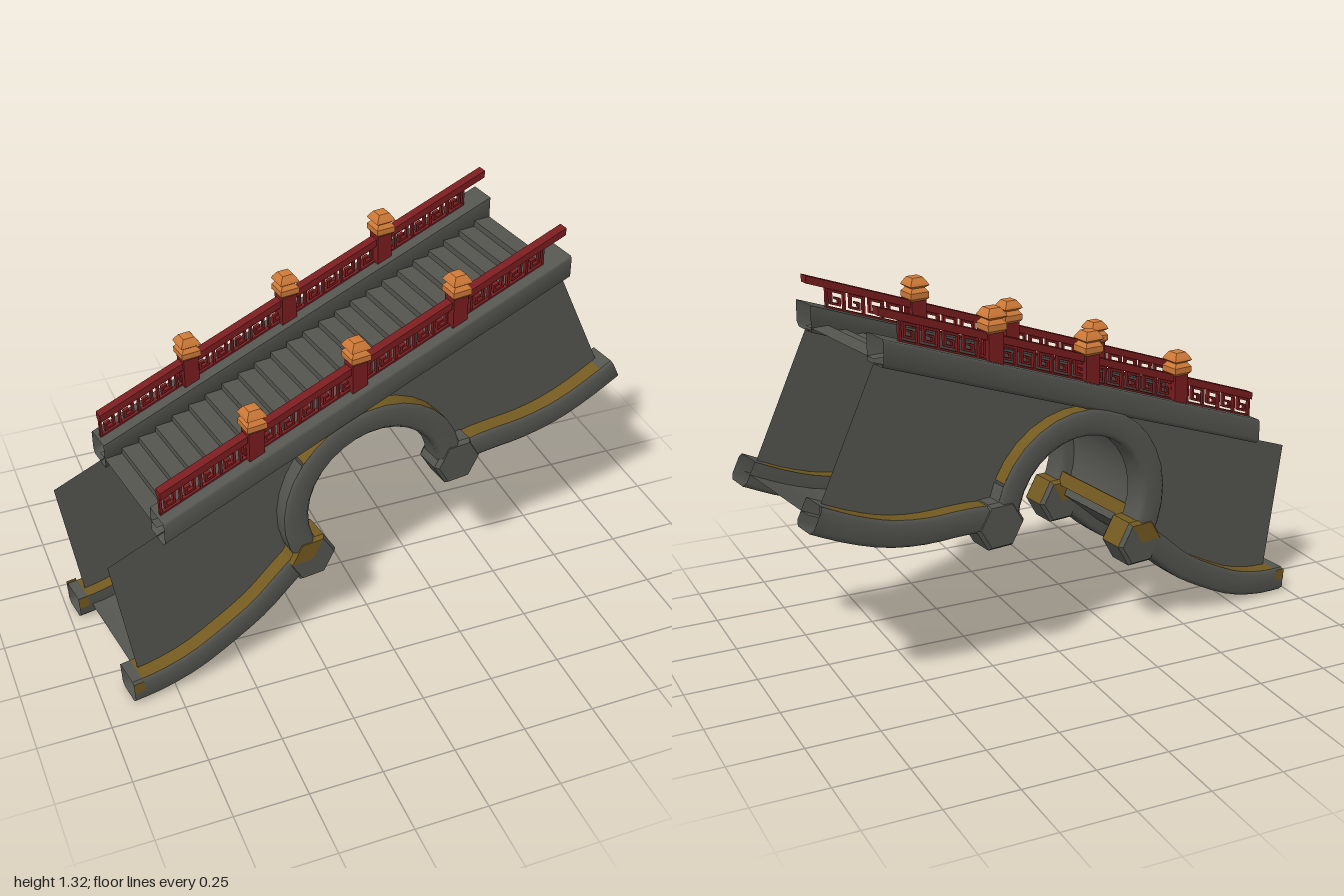
import * as THREE from 'three';

const make = (name, color) => {
  const m = new THREE.MeshStandardMaterial({ color, side: THREE.DoubleSide });
  m.name = name;
  return m;
};

// Centre height of the sloping kerb at a position along the bridge
const slopeY = u => 0.933 + 0.354 * u;
const WALL = 0.23, TRIM = 0.24;

// Shift a level geometry up onto the slope, keeping its ends upright
const shear = g => {
  const p = g.attributes.position;
  for (let i = 0; i < p.count; i++) p.setY(i, p.getY(i) + slopeY(p.getX(i)));
  g.computeVertexNormals();
  return g;
};

export function createModel() {
  const stone = make('stone', 0x555550);
  const moss = make('moss', 0x735a20);
  const red = make('redPaint', 0x7a1c1f);
  const orange = make('orangeCap', 0xd07a38);

  const root = new THREE.Group();
  root.name = 'stairBridge';
  const bridge = new THREE.Group();
  bridge.name = 'bridge';
  bridge.rotation.y = 0.141;
  root.add(bridge);

  const add = (name, geo, mat, parent = bridge) => {
    const mesh = new THREE.Mesh(geo, mat);
    mesh.name = name;
    parent.add(mesh);
    return mesh;
  };

  // Sweep a [width, height] section along a path in the side plane
  const sweep = (path, section, s = 1) => {
    const pos = [], idx = [], n = section.length;
    path.forEach((p, i) => {
      const a = path[Math.max(i - 1, 0)], b = path[Math.min(i + 1, path.length - 1)];
      const t = b.clone().sub(a).normalize();
      section.forEach(([w, h]) => pos.push(p.x - t.y * h, p.y + t.x * h, s * w));
      if (i) for (let j = 0; j < n - 1; j++) {
        const k = (i - 1) * n + j;
        if (s > 0) idx.push(k, k + n, k + 1, k + 1, k + n, k + n + 1);
        else idx.push(k, k + 1, k + n, k + 1, k + n + 1, k + n);
      }
    });
    const g = new THREE.BufferGeometry();
    g.setAttribute('position', new THREE.Float32BufferAttribute(pos, 3));
    g.setIndex(idx);
    g.computeVertexNormals();
    return g;
  };

  // Sloping box with upright ends
  const slab = (u0, u1, v0, v1, depth, w) =>
    shear(new THREE.BoxGeometry(u1 - u0, v1 - v0, depth)
      .translate((u0 + u1) / 2, (v0 + v1) / 2, w));

  // Lower outline: left foot, arch, right foot
  const curve = (pts, n) =>
    new THREE.SplineCurve(pts.map(p => new THREE.Vector2(...p))).getPoints(n);
  const leftFoot = curve([[-0.95, 0.046], [-0.845, 0.053], [-0.715, 0.085], [-0.58, 0.15],
    [-0.47, 0.215], [-0.365, 0.305], [-0.28, 0.375]], 14);
  const rightFoot = curve([[0.28, 0.56], [0.36, 0.578], [0.45, 0.583], [0.57, 0.585],
    [0.7, 0.605], [0.83, 0.65], [0.953, 0.708]], 14);
  const arch = [];
  for (let i = 0; i <= 18; i++) {
    const a = THREE.MathUtils.degToRad(212 - i * 210 / 18);
    arch.push(new THREE.Vector2(-0.03 + 0.3 * Math.cos(a), 0.53 + 0.3 * Math.sin(a)));
  }
  const floorLeft = leftFoot.filter(p => p.x > -0.9);
  floorLeft.unshift(new THREE.Vector2(-0.903, 0.05));

  // Open shell: underside panels
  const flat = [[WALL, 0], [-WALL, 0]];
  add('leftUnderside', sweep(floorLeft, flat), stone);
  add('archVault', sweep(arch, flat), stone);
  add('rightUnderside', sweep(rightFoot, flat), stone);
  const sill = new THREE.BoxGeometry(0.008, 0.05, 2 * WALL);
  sill.rotateZ(0.35);
  add('mossySill', sill, moss).position.set(-0.278, 0.437, 0);

  // Side walls
  const wall = new THREE.Shape([
    new THREE.Vector2(-0.975, slopeY(-0.975) - 0.035),
    ...floorLeft, ...arch,
    ...rightFoot.filter(p => p.x < 0.92),
    new THREE.Vector2(0.915, 0.72),
    new THREE.Vector2(0.71, slopeY(0.71) - 0.035),
  ]);

  // Stair shell of thin treads and risers
  const steps = 24, start = -0.8, run = 1.51 / steps;
  const stairPath = [];
  for (let i = 0; i < steps; i++) {
    const u = start + i * run, y = slopeY(u + run) - 0.025;
    stairPath.push(new THREE.Vector2(u, y), new THREE.Vector2(u + run, y));
  }
  const stairs = new THREE.BufferGeometry();
  const sp = [];
  for (let i = 1; i < stairPath.length; i++) {
    const a = stairPath[i - 1], b = stairPath[i];
    sp.push(a.x, a.y, WALL, b.x, b.y, WALL, b.x, b.y, -WALL,
      a.x, a.y, WALL, b.x, b.y, -WALL, a.x, a.y, -WALL);
  }
  stairs.setAttribute('position', new THREE.Float32BufferAttribute(sp, 3));
  stairs.computeVertexNormals();
  add('stairs', stairs, stone);

  // Trim section: softened box body plus separate top strip
  const inner = TRIM - 0.055, outer = TRIM + 0.056;
  const body = [[outer - 0.012, 0.045], [outer, 0.032], [outer, -0.03], [outer - 0.016, -0.046],
    [inner + 0.016, -0.046], [inner, -0.03], [inner, 0.045]];
  const top = [[inner, 0.045], [outer - 0.012, 0.045]];
  const kerb = [[TRIM - 0.052, 0.05], [TRIM + 0.046, 0.05], [TRIM + 0.052, 0.042], [TRIM + 0.052, -0.025],
    [TRIM + 0.037, -0.04], [TRIM - 0.052, -0.04], [TRIM - 0.052, 0.05]];

  // Square turned profile for the post caps
  const squareLathe = pts => {
    const g = new THREE.LatheGeometry(
      pts.map(([r, y]) => new THREE.Vector2(r * Math.SQRT2, y)), 4, Math.PI / 4).toNonIndexed();
    g.computeVertexNormals();
    return g;
  };
  const capGeo = squareLathe([[0, 0], [0.023, 0], [0.035, 0.014], [0.035, 0.034], [0.024, 0.048],
    [0.036, 0.057], [0.032, 0.066], [0.02, 0.084], [0, 0.086]]);
  const postGeo = new THREE.BoxGeometry(0.055, 0.13, 0.055);

  // Hexagonal boss with lightly bevelled faces
  const bossGeo = new THREE.LatheGeometry([[0, -0.059], [0.08, -0.059], [0.092, -0.045],
    [0.092, 0.045], [0.08, 0.059], [0, 0.059]].map(p => new THREE.Vector2(...p)), 6, Math.PI / 2)
    .toNonIndexed();
  bossGeo.rotateX(Math.PI / 2);
  bossGeo.computeVertexNormals();
  // Moss on the upper facets of the left bosses
  const mossyBoss = bossGeo.clone();
  const bp = mossyBoss.attributes.position, bn = mossyBoss.attributes.normal;
  for (let i = 0; i < bp.count; i += 3) {
    const cx = (bp.getX(i) + bp.getX(i + 1) + bp.getX(i + 2)) / 3;
    const cy = (bp.getY(i) + bp.getY(i + 1) + bp.getY(i + 2)) / 3;
    const mossy = cy > 0.02 && (Math.abs(bn.getZ(i)) < 0.5 || cx < 0.03);
    mossyBoss.addGroup(i, 3, mossy ? 1 : 0);
  }

  for (const s of [1, -1]) {
    const side = new THREE.Group();
    side.name = s > 0 ? 'frontSide' : 'backSide';
    bridge.add(side);

    add('sideWall', new THREE.ShapeGeometry(wall), stone, side).position.z = s * WALL;

    // Trims, with moss along part of each top and plain stone beyond it
    for (const [name, path, from, to] of [
      ['leftFootTrim', leftFoot, 1, 14], ['archTrim', arch, 6, 16], ['rightFootTrim', rightFoot, 0, 13]]) {
      add(name, sweep(path, body, s), stone, side);
      add(name + 'Moss', sweep(path.slice(from, to + 1), top, s), moss, side);
      if (from > 0) add(name + 'TopStart', sweep(path.slice(0, from + 1), top, s), stone, side);
      if (to < path.length - 1) add(name + 'TopEnd', sweep(path.slice(to), top, s), stone, side);
    }
    // Moss band on the cheeks of the left end
    for (const w of [outer + 0.002, inner - 0.002])
      add('leftEndMoss', sweep(leftFoot.slice(0, 2), [[w, 0.043], [w, 0.002]], s), moss, side);

    add('leftBoss', mossyBoss, [stone, moss], side).position.set(-0.276, 0.352, s * TRIM);
    add('rightBoss', bossGeo, stone, side).position.set(0.297, 0.545, s * TRIM);

    // Sloping kerb
    const ends = [-0.8, 0.71].map(u => new THREE.Vector2(u, 0));
    add('kerb', shear(sweep(ends, kerb, s)), stone, side);

    // Handrail and key-pattern fretwork
    const w = s * TRIM;
    add('handrail', slab(-0.79, 0.705, 0.116, 0.142, 0.034, w), red, side);
    add('fretBase', slab(-0.79, 0.63, 0.048, 0.056, 0.016, w), red, side);
    const units = 20, step = 1.42 / units;
    for (let i = 0; i < units; i++) {
      const u = -0.79 + i * step;
      for (const [a, b, c, d] of [
        [0, 0.008, 0.048, 0.116], [0, 0.056, 0.106, 0.114], [0.048, 0.056, 0.066, 0.106],
        [0.018, 0.056, 0.064, 0.072], [0.018, 0.026, 0.072, 0.092], [0.026, 0.038, 0.084, 0.092]])
        add('fretBar', slab(u + a, u + b, c, d, 0.014, w), red, side);
    }
    add('fretEnd', slab(0.622, 0.63, 0.048, 0.116, 0.014, w), red, side);

    // Posts with turned caps
    for (const u of [-0.455, -0.08, 0.295]) {
      add('post', postGeo, red, side).position.set(u, slopeY(u) + 0.085, w);
      add('postCap', capGeo, orange, side).position.set(u, slopeY(u) + 0.142, w);
    }
  }
  return root;
}
